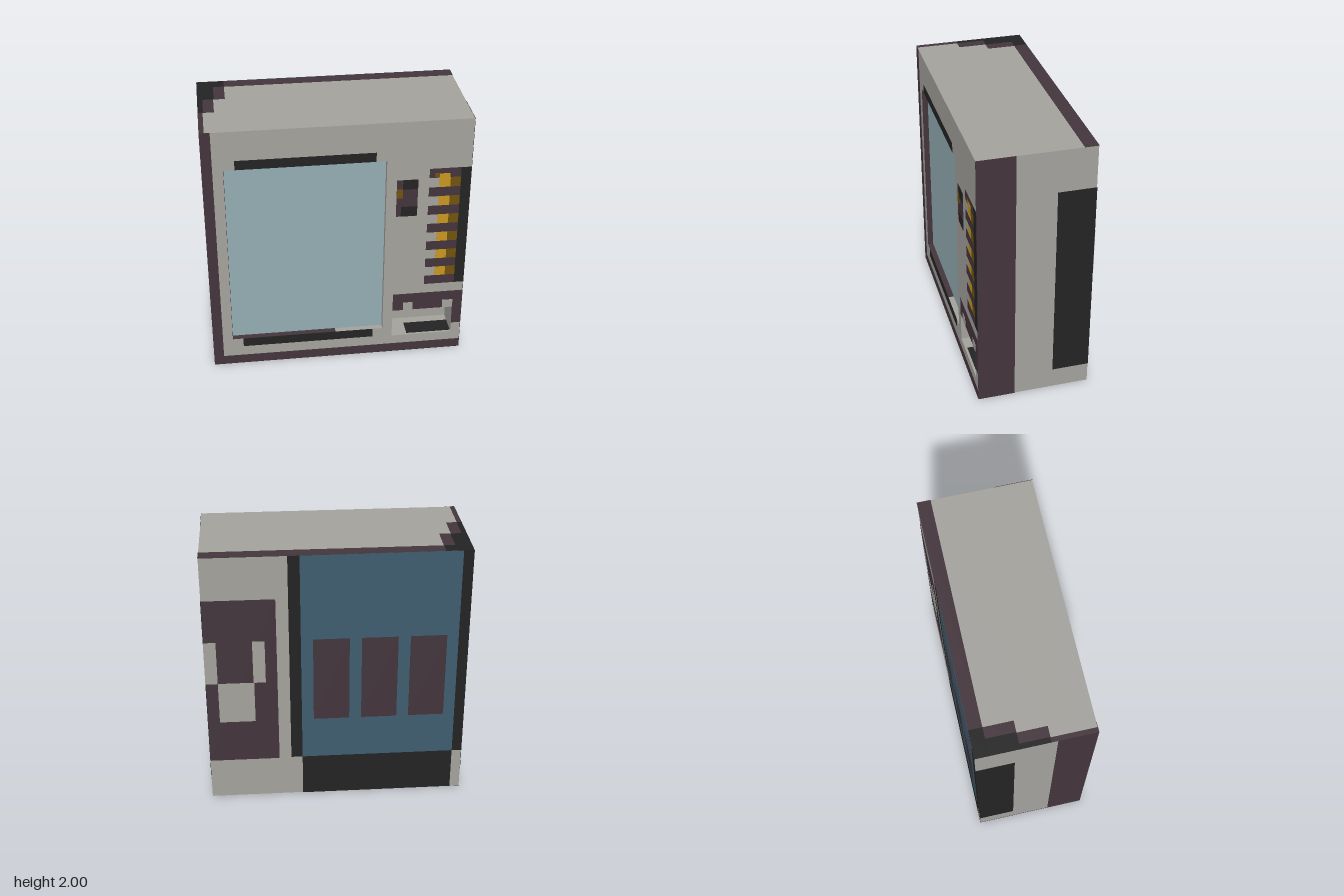
import * as THREE from 'three';

const mat = (name, color) => Object.assign(new THREE.MeshStandardMaterial({ color }), { name });

export function createModel() {
  const grey = mat('warm grey', 0xa3a19c), plum = mat('dark plum', 0x43353c);
  const black = mat('soft black', 0x232323), glass = mat('pale blue glass', 0x94acb2);
  const blue = mat('slate blue', 0x3f5c6e), yellow = mat('amber', 0xc6961f);
  const ochre = mat('dark amber', 0x70520d);

  const model = new THREE.Group();
  model.name = 'vendingMachine';
  const X = 0.96, H = 2, Z = 0.42, E = 0.002; // half width, height, half depth, plate thickness

  const box = (name, m, x0, x1, y0, y1, z0, z1) => {
    const mesh = new THREE.Mesh(new THREE.BoxGeometry(x1 - x0, y1 - y0, z1 - z0), m);
    mesh.position.set((x0 + x1) / 2, (y0 + y1) / 2, (z0 + z1) / 2);
    mesh.name = name;
    model.add(mesh);
    return mesh;
  };
  // thin painted plates on each side; layer stacks one plate over another
  const front = (n, m, x0, x1, y0, y1, layer = 0) => box(n, m, x0, x1, y0, y1, Z - E, Z + layer * E);
  const back = (n, m, x0, x1, y0, y1, layer = 0) => box(n, m, x0, x1, y0, y1, -Z - layer * E, -Z + E);
  const top = (n, m, x0, x1, z0, z1) => box(n, m, x0, x1, H - E, H, z0, z1);
  const under = (n, m, x0, x1, z0, z1) => box(n, m, x0, x1, 0, E, z0, z1);

  // cabinet: solid rear block and a front shell with display and chute openings
  const split = 0.2;
  box('cabinetBody', grey, -X + E, X - E, E, H - E, -Z + E, split);
  const rect = (P, x0, x1, y0, y1) => {
    const p = new P();
    p.moveTo(x0, y0); p.lineTo(x1, y0); p.lineTo(x1, y1); p.lineTo(x0, y1); p.closePath();
    return p;
  };
  const shape = rect(THREE.Shape, -X + E, X - E, E, H - E);
  const win = [-0.81, 0.345, 0.23, 1.7], chute = [0.42, 0.885, 0.15, 0.39];
  shape.holes.push(rect(THREE.Path, ...win), rect(THREE.Path, ...chute));
  const shell = new THREE.Mesh(
    new THREE.ExtrudeGeometry(shape, { depth: Z - E - split, bevelEnabled: false }), grey);
  shell.position.z = split;
  shell.name = 'frontShell';
  model.add(shell);

  // recessed display glass with dark lining
  const pane = Z - 0.045;
  box('displayGlass', glass, ...win, split, pane);
  box('displayLiningSide', plum, win[0], win[0] + E, win[2], win[3], pane, Z - E);
  box('displayLiningSill', plum, win[0], -0.02, win[2], win[2] + E, pane, Z - E);

  // front trim
  front('frontLeftTrim', plum, -X, -0.885, 0, H);
  front('frontBottomTrim', plum, -0.885, X, 0, 0.075);
  for (const y of [0.158, 1.7]) front('displayEdgeBar', black, -0.73, 0.268, y, y + 0.072);

  // selection column: plum bars with amber labels between
  front('selectionSideStrip', black, 0.885, X, 0.62, 1.615);
  for (let i = 0; i < 7; i++) {
    const y = 0.62 + i * 0.1535;
    front('selectionBar', plum, 0.655, 0.885, y, y + 0.075);
    if (i === 6) continue;
    front('labelLight', yellow, 0.73, 0.81, y + 0.075, y + 0.1535);
    front('labelShade', ochre, 0.81, 0.885, y + 0.075, y + 0.1535);
  }
  front('topLabelTab', yellow, 0.73, 0.805, 1.54, 1.575, 1);
  front('topLabelTabShade', ochre, 0.695, 0.73, 1.545, 1.58, 1);

  // payment panel
  front('paymentPanel', plum, 0.42, 0.575, 1.235, 1.537);
  front('paymentSlotTop', black, 0.465, 0.575, 1.46, 1.537, 1);
  front('paymentSlotBottom', black, 0.455, 0.575, 1.235, 1.315, 1);
  front('paymentButton', ochre, 0.42, 0.465, 1.39, 1.463, 1);

  // dispensing chute
  front('chuteHood', plum, 0.42, X, 0.39, 0.54);
  front('chuteSideTrim', plum, 0.885, X, 0.235, 0.39);
  front('chuteTab', grey, 0.5, 0.575, 0.39, 0.46, 1);
  front('chuteTab', grey, 0.805, 0.885, 0.39, 0.46, 1);
  box('chuteBackPanel', plum, 0.42, 0.885, 0.23, 0.39, split, split + E);
  box('chuteBackTab', grey, 0.575, 0.81, 0.31, 0.39, split, split + 2 * E);
  box('chuteFloorMat', black, 0.54, 0.885, 0.15, 0.15 + E, 0.27, Z - 0.02);

  // both sides: plum front band and black rear panel
  for (const s of [-1, 1]) {
    const x0 = s < 0 ? -X : X - E;
    box('sideFrontBand', plum, x0, x0 + E, 0, H, 0.145, Z);
    box('sideRearPanel', black, x0, x0 + E, 0.16, 1.68, -Z, -0.145);
  }

  // top: rear strip with a stepped dark corner
  top('topRearStrip', plum, -0.76, X, -Z, -0.32);
  top('topCornerRear', black, -X, -0.76, -Z, -0.32);
  top('topCornerMiddle', black, -X, -0.84, -0.32, -0.11);
  top('topCornerFront', black, -X, -0.922, -0.11, 0.1);
  top('topStepRear', plum, -0.84, -0.76, -0.32, -0.11);
  top('topStepMiddle', plum, -0.922, -0.845, -0.11, 0.1);
  top('topStepFront', plum, -X, -0.925, 0.1, Z);

  // underside
  under('undersideDarkPatch', black, 0.24, X, 0.145, Z);
  under('undersidePlumPanel', plum, -X, -0.32, -Z, Z);

  // back: blue service panel with vents
  back('servicePanel', blue, -0.885, 0.26, 0.335, H);
  back('servicePanelBase', black, -0.885, 0.26, 0, 0.335);
  back('servicePanelStrip', black, 0.26, 0.345, 0.335, H);
  back('servicePanelStrip', black, -X, -0.885, 0.335, H);
  for (let i = 0; i < 3; i++) {
    const x = 0.172 - i * 0.354;
    back('vent', plum, x - 0.265, x, 0.67, 1.34, 1);
  }

  // back: plum access panel with grey handle
  back('accessPanel', plum, 0.435, X, 0.33, 1.67);
  back('handleTab', grey, 0.87, X, 1, 1.34, 1);
  back('handleTab', grey, 0.52, 0.61, 1, 1.34, 1);
  back('handleGrip', grey, 0.605, 0.87, 0.67, 1, 1);

  return model;
}
